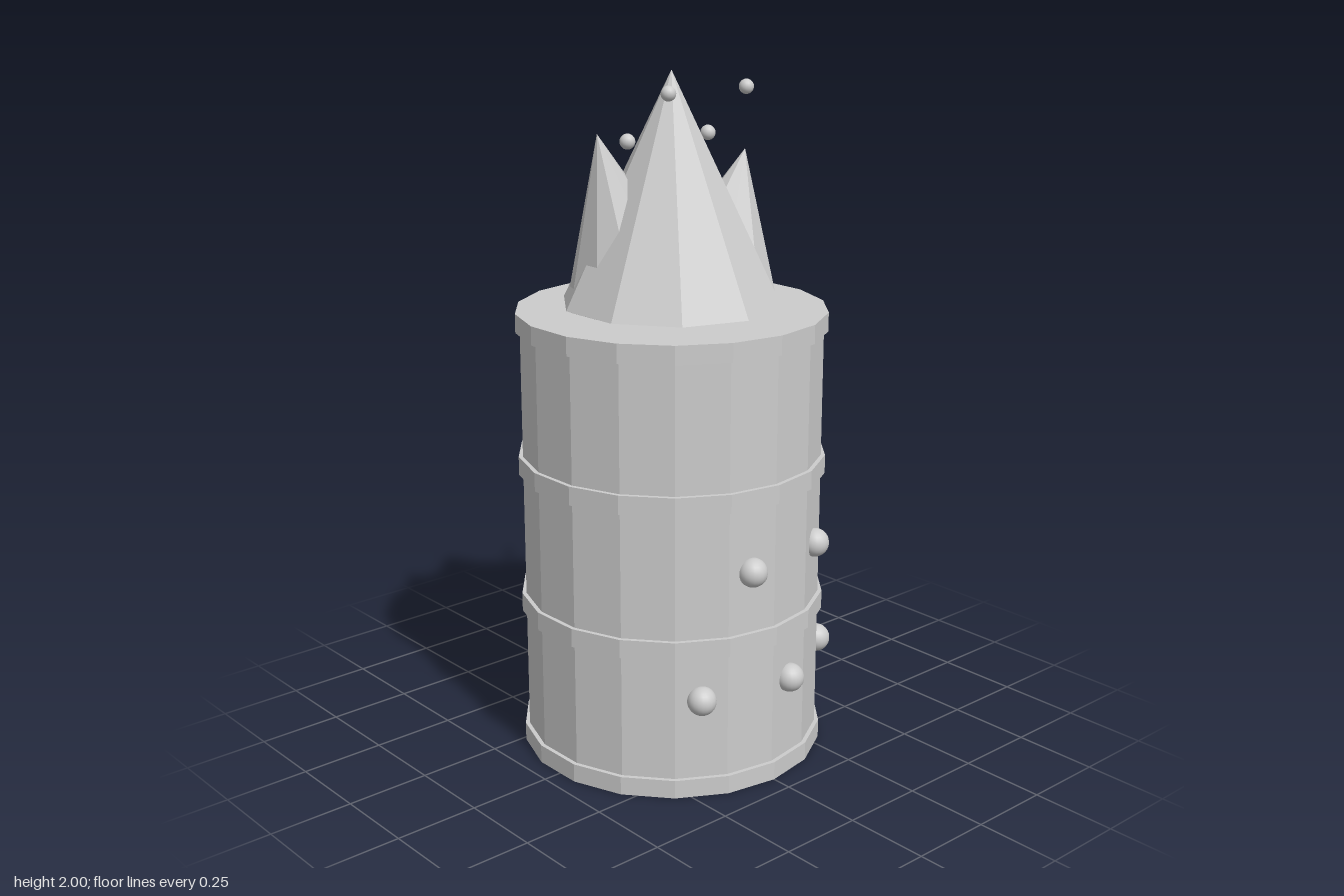
import * as THREE from 'three';

const CZ = -0.012; // barrel axis in z
const BODY_R = 0.439;

const grey = new THREE.MeshStandardMaterial({ color: 0xcccccc });
grey.name = 'plain grey';

// Faceted copy of a geometry
function faceted(geometry) {
  const flat = geometry.toNonIndexed();
  flat.computeVertexNormals();
  return flat;
}

function add(parent, name, geometry, x, y, z) {
  const mesh = new THREE.Mesh(geometry, grey);
  mesh.name = name;
  mesh.position.set(x, y, z);
  parent.add(mesh);
  return mesh;
}

// Ten-sided flame: apex position, height, radius and sideways lean
function flame(parent, name, apex, height, radius, lean) {
  const geometry = faceted(new THREE.ConeGeometry(radius, height, 10));
  geometry.translate(0, -height / 2, 0); // pivot at the tip
  const mesh = add(parent, name, geometry, ...apex);
  mesh.rotation.z = lean;
}

export function createModel() {
  const model = new THREE.Group();
  model.name = 'burningBarrel';

  // Barrel drum
  const barrel = new THREE.Group();
  barrel.name = 'barrel';
  model.add(barrel);
  const bodyHeight = 1.3;
  add(barrel, 'drum', faceted(new THREE.CylinderGeometry(BODY_R, BODY_R, bodyHeight, 18)), 0, 0.01 + bodyHeight / 2, CZ);

  // Bottom rim, two hoops and top rim
  const hoop = faceted(new THREE.CylinderGeometry(0.4515, 0.4515, 0.055, 18));
  ['bottomRim', 'lowerHoop', 'upperHoop', 'topRim'].forEach((name, i) => {
    add(barrel, name, hoop, 0, 0.0275 + i * 0.4243, CZ);
  });

  // Round studs on the front of the drum
  const stud = new THREE.SphereGeometry(0.042, 20, 14);
  for (const [x, y] of [[-0.078, 0.66], [0.22, 0.66], [-0.22, 0.295], [0.075, 0.295], [0.335, 0.295]]) {
    add(barrel, 'stud', stud, x, y, CZ + Math.sqrt(BODY_R ** 2 - x ** 2));
  }

  // Flames: a tall one with two leaning outwards
  const fire = new THREE.Group();
  fire.name = 'fire';
  model.add(fire);
  flame(fire, 'mainFlame', [0, 2, CZ], 0.655, 0.321, 0);
  flame(fire, 'rightFlame', [-0.206, 1.833, -0.088], 0.473, 0.195, 0.262);
  flame(fire, 'leftFlame', [0.232, 1.768, 0.043], 0.402, 0.19, -0.305);

  // Floating sparks
  const spark = new THREE.SphereGeometry(0.0215, 16, 12);
  [-0.22, -0.074, 0.072, 0.218].forEach((x, i) => {
    add(fire, 'spark', spark, x, i % 2 ? 1.945 : 1.828, 0.06);
  });

  return model;
}
